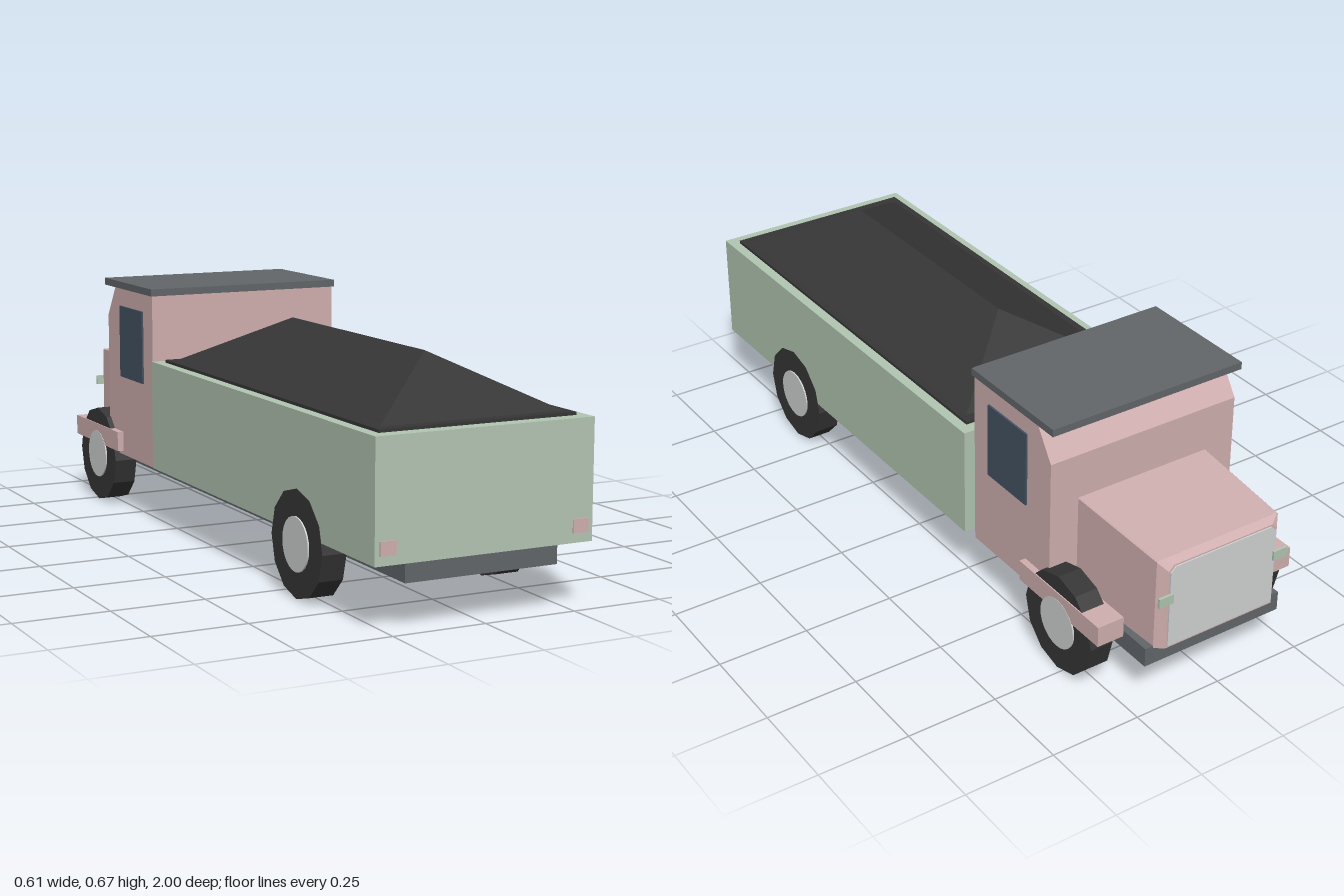
import * as THREE from 'three';
import { ConvexGeometry } from 'three/addons/geometries/ConvexGeometry.js';

const mat = (name, color) => {
  const m = new THREE.MeshStandardMaterial({ color });
  m.name = name;
  return m;
};

export function createModel() {
  const pink = mat('dusty pink paint', 0xd0afaf);
  const green = mat('pale green paint', 0xb2c5b2);
  const charcoal = mat('charcoal', 0x363636);
  const gray = mat('slate gray', 0x626669);
  const glass = mat('dark blue glass', 0x445362);
  const silver = mat('silver', 0xd0d2d2);

  const truck = new THREE.Group();
  truck.name = 'truck';

  const add = (name, geometry, material) => {
    const mesh = new THREE.Mesh(geometry, material);
    mesh.name = name;
    truck.add(mesh);
    return mesh;
  };
  // Box given by its minimum and maximum on each axis
  const box = (name, material, x0, x1, y0, y1, z0, z1) => {
    const g = new THREE.BoxGeometry(x1 - x0, y1 - y0, z1 - z0);
    g.translate((x0 + x1) / 2, (y0 + y1) / 2, (z0 + z1) / 2);
    return add(name, g, material);
  };
  // Box repeated on both sides of the truck
  const pair = (name, material, x0, x1, ...rest) => {
    box(name + 'Left', material, x0, x1, ...rest);
    box(name + 'Right', material, -x1, -x0, ...rest);
  };
  const hull = (name, material, points) =>
    add(name, new ConvexGeometry(points.map((p) => new THREE.Vector3(...p))), material);

  // Chassis and cargo bed
  box('chassis', gray, -0.209, 0.209, 0.117, 0.17, -0.968, 0.982);
  box('cargoBed', green, -0.298, 0.298, 0.168, 0.472, -0.308, 0.997);
  pair('tailLight', pink, 0.242, 0.285, 0.192, 0.227, 0.994, 1.0);

  // Heaped load: thin base with a hipped mound
  box('loadBase', charcoal, -0.27, 0.27, 0.465, 0.48, -0.275, 0.96);
  const mound = [[0, 0.613, -0.02], [0, 0.613, 0.7]];
  for (const x of [-0.255, 0.255]) for (const z of [-0.25, 0.935]) mound.push([x, 0.478, z]);
  hull('loadMound', charcoal, mound);

  // Cab: side profile (z, y) extruded across the width
  const profile = new THREE.Shape(
    [[0.335, 0.162], [0.669, 0.162], [0.669, 0.565], [0.61, 0.655], [0.335, 0.655]]
      .map(([z, y]) => new THREE.Vector2(z, y)));
  const cab = new THREE.ExtrudeGeometry(profile, { depth: 0.568, bevelEnabled: false });
  cab.translate(0, 0, -0.284).rotateY(Math.PI / 2);
  add('cab', cab, pink);
  box('cabRoof', gray, -0.289, 0.289, 0.653, 0.673, -0.682, -0.33);
  pair('sideWindow', glass, 0.282, 0.289, 0.395, 0.602, -0.57, -0.402);

  // Tapered hood with a bevelled nose
  const ring = (w, top, bottom, z, clip) => [
    [-w, bottom, z], [w, bottom, z], [w, top - clip, z],
    [w - clip, top, z], [-w + clip, top, z], [-w, top - clip, z],
  ];
  hull('hood', pink, [
    ...ring(0.2, 0.441, 0.164, -0.66, 0.003),
    ...ring(0.186, 0.42, 0.164, -0.968, 0.003),
    ...ring(0.166, 0.41, 0.168, -0.99, 0.015),
  ]);
  hull('grille', silver, [
    ...ring(0.162, 0.406, 0.175, -0.988, 0.015),
    ...ring(0.162, 0.406, 0.175, -0.994, 0.015),
  ]);
  pair('headlight', green, 0.155, 0.198, 0.305, 0.332, -1.0, -0.993);

  // Straight front fenders
  pair('fender', pink, 0.225, 0.302, 0.173, 0.23, -0.9, -0.565);

  // Wheels: twelve-sided tyres with flat hub discs
  const tyre = new THREE.CylinderGeometry(0.139, 0.139, 0.066, 12).toNonIndexed();
  tyre.computeVertexNormals();
  tyre.rotateZ(Math.PI / 2);
  const hub = new THREE.CylinderGeometry(0.07, 0.07, 0.02, 24).rotateZ(Math.PI / 2);
  for (const [place, z] of [['rear', 0.6], ['front', -0.73]]) {
    for (const side of [1, -1]) {
      const label = place + (side > 0 ? 'Left' : 'Right');
      add(label + 'Tyre', tyre, charcoal).position.set(side * 0.266, 0.139, z);
      add(label + 'Hub', hub, silver).position.set(side * 0.293, 0.139, z);
    }
  }

  return truck;
}
